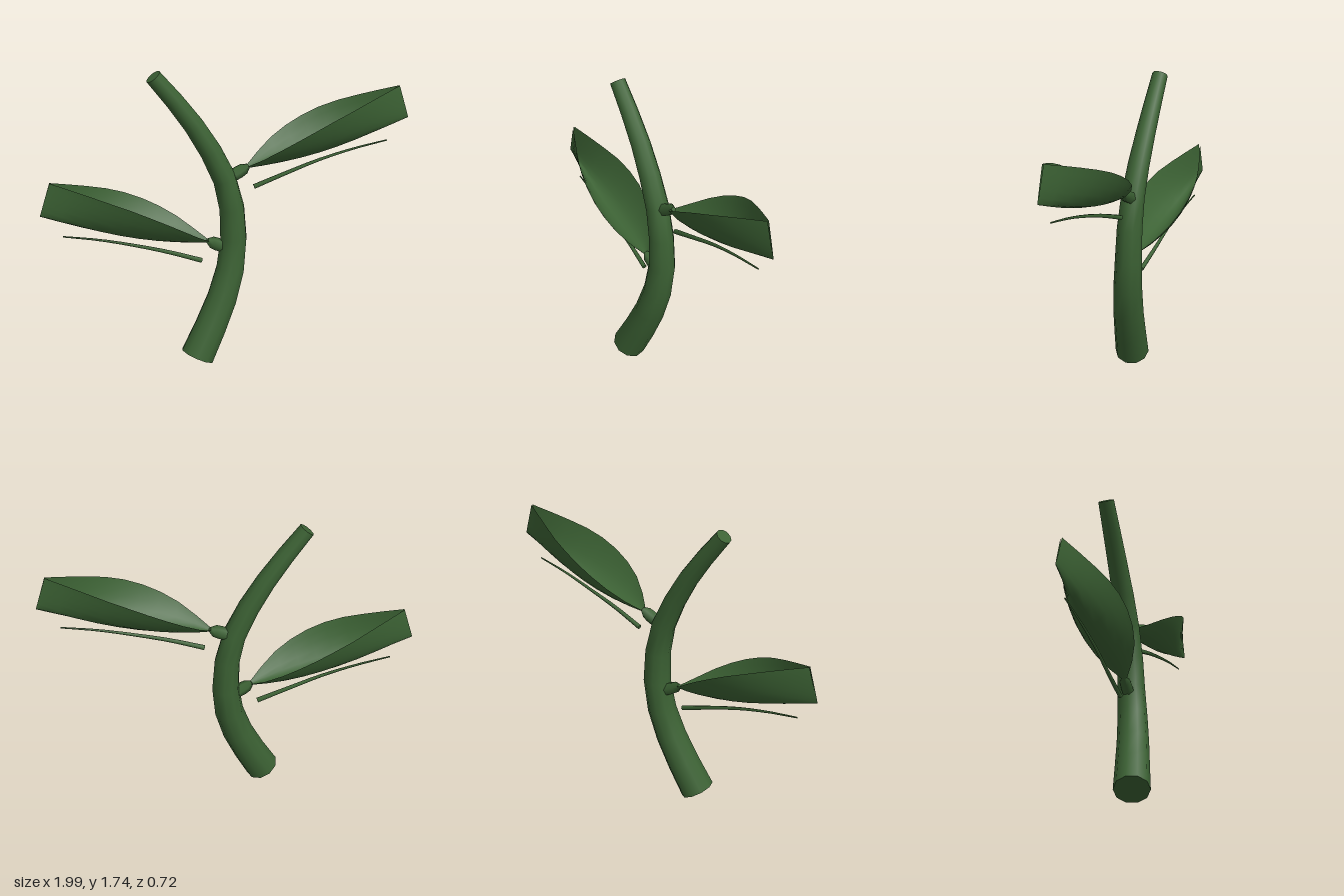
import * as THREE from 'three';

const V = (x, y, z) => new THREE.Vector3(x, y, z);
const lerp = THREE.MathUtils.lerp;

// Skin a grid of points: rows[i][j]
function skin(rows) {
  const n = rows[0].length, pos = [], idx = [];
  rows.forEach(r => r.forEach(p => pos.push(p.x, p.y, p.z)));
  for (let i = 0; i < rows.length - 1; i++) {
    for (let j = 0; j < n - 1; j++) {
      const a = i * n + j, b = a + n;
      idx.push(a, a + 1, b, b, a + 1, b + 1);
    }
  }
  const g = new THREE.BufferGeometry();
  g.setAttribute('position', new THREE.Float32BufferAttribute(pos, 3));
  g.setIndex(idx);
  g.computeVertexNormals();
  return g;
}

// Tube along points whose radius follows radiusAt(t), with flat end caps
function taperedTube(name, points, radiusAt, steps, sides, material) {
  const group = new THREE.Group();
  group.name = name;
  const curve = new THREE.CatmullRomCurve3(points);
  const g = new THREE.TubeGeometry(curve, steps, 1, sides);
  const pos = g.attributes.position, v = V(0, 0, 0);
  const rows = [];
  for (let i = 0; i <= steps; i++) {
    const c = curve.getPointAt(i / steps), r = radiusAt(i / steps);
    const row = [];
    for (let j = 0; j <= sides; j++) {
      const k = i * (sides + 1) + j;
      v.fromBufferAttribute(pos, k).sub(c).multiplyScalar(r).add(c);
      pos.setXYZ(k, v.x, v.y, v.z);
      row.push(v.clone());
    }
    rows.push(row);
  }
  const add = (geo, part) => {
    const m = new THREE.Mesh(geo, material);
    m.name = part;
    group.add(m);
  };
  add(g, name + 'Side');
  const cap = (row, t) => skin([row, row.map(() => curve.getPointAt(t))]);
  const start = cap(rows[0].slice().reverse(), 0);
  const end = cap(rows[steps], 1);
  add(start, name + 'StartCap');
  add(end, name + 'EndCap');
  return group;
}

// Cupped leaf: straight keel in plan, rims raised, both sides meeting in an upright tip edge
function leafGeometry() {
  const base = V(0.09, 1.14, -0.05), tip = V(0.995, 1.38, -0.358);
  const along = V(0.947, 0, -0.322), side = V(0.322, 0, 0.947);
  const up = V(0, 1, 0).addScaledVector(along, -0.32);
  const width = [0.004, 0.075, 0.125, 0.15, 0.158, 0.15, 0.128, 0.09, 0.048, 0.004];
  const lift = [0.004, 0.055, 0.105, 0.145, 0.175, 0.195, 0.203, 0.203, 0.198, 0.19];
  const n = width.length - 1, across = 12;
  return skin(width.map((w, i) => {
    const t = i / n, row = [];
    const keel = base.clone().lerp(tip, t);
    keel.y -= 0.04 * Math.sin(Math.PI * t);
    for (let j = 0; j <= across; j++) {
      const a = (j / across - 0.5) * Math.PI;
      const u = lerp(Math.sin(a), 2 * a / Math.PI, 0.5);
      row.push(keel.clone().addScaledVector(side, u * w).addScaledVector(up, u * u * lift[i]));
    }
    return row;
  }));
}

export function createModel() {
  const model = new THREE.Group();
  model.name = 'twig';
  const green = new THREE.MeshStandardMaterial({ color: 0x3c6234, side: THREE.DoubleSide });
  green.name = 'leafGreen';

  // Curved, tapering stem
  model.add(taperedTube('stem', [
    V(-0.16, 0.045, 0.155), V(-0.07, 0.26, 0.085), V(0, 0.47, 0.03), V(0.03, 0.68, -0.005),
    V(0.025, 0.89, -0.008), V(0, 1.04, 0), V(-0.08, 1.24, 0.03), V(-0.21, 1.47, 0.08),
    V(-0.385, 1.715, 0.155),
  ], t => lerp(0.1, 0.045, t), 10, 10, green));

  // Two identical shoots, the lower one turned half way round
  const leaf = leafGeometry();
  [['upper', 0, 0], ['lower', -0.42, Math.PI]].forEach(([level, y, turn]) => {
    const shoot = new THREE.Group();
    shoot.name = level + 'Shoot';
    shoot.position.y = y;
    shoot.rotation.y = turn;

    const blade = new THREE.Mesh(leaf, green);
    blade.name = 'leaf';
    shoot.add(blade);

    // Small bud joining leaf and stem
    shoot.add(taperedTube('bud', [
      V(0.01, 1.1, -0.01), V(0.06, 1.125, -0.033), V(0.11, 1.155, -0.057),
    ], t => [0.03, 0.037, 0.037, 0.034, 0.014][Math.round(t * 4)], 4, 6, green));

    // Thin rib hanging under the leaf
    shoot.add(taperedTube('rib', [
      V(0.143, 1.03, -0.06), V(0.32, 1.098, -0.12), V(0.5, 1.16, -0.19),
      V(0.69, 1.212, -0.255), V(0.88, 1.25, -0.32),
    ], t => lerp(0.014, 0.004, t), 10, 6, green));
    model.add(shoot);
  });
  return model;
}
